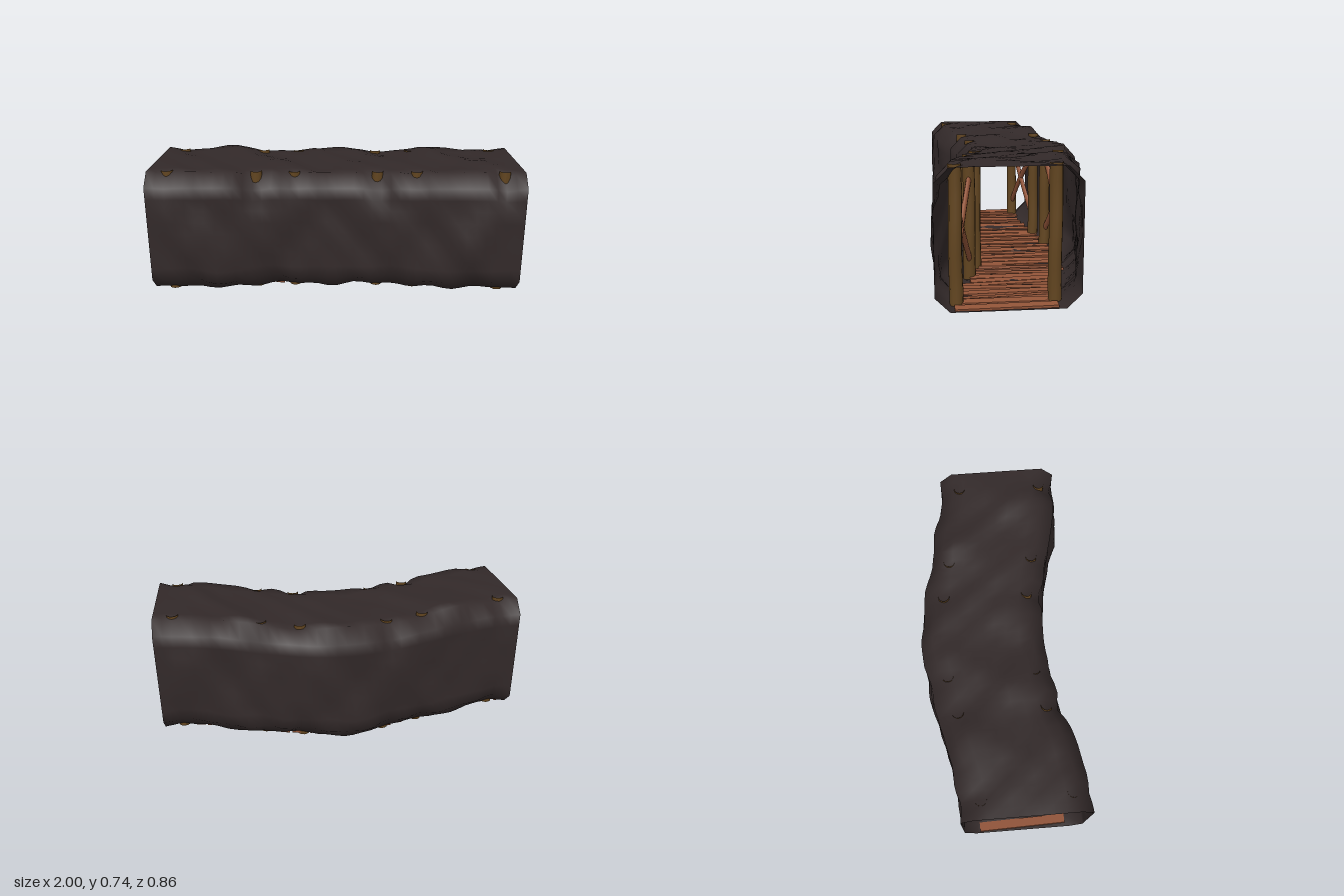
import * as THREE from 'three';

const rock = new THREE.MeshStandardMaterial({ color: 0x322929, side: THREE.DoubleSide });
rock.name = 'dark rock';
const timber = new THREE.MeshStandardMaterial({ color: 0x624520 });
timber.name = 'brown timber';
const plankWood = new THREE.MeshStandardMaterial({ color: 0x935539 });
plankWood.name = 'reddish plank wood';

// Seeded random numbers
let seed = 7;
const rand = () => {
  seed = (seed * 16807) % 2147483647;
  return seed / 2147483647;
};
const jitter = (a) => (rand() * 2 - 1) * a;

// The passage bends sideways and sags towards its middle
const bend = (x) => 0.5 + 0.5 * Math.cos(Math.PI * x);
const midZ = (x) => 0.073 - 0.153 * bend(x);
const floorY = (x) => 0.06 - 0.046 * bend(x);
const HALF_W = 0.338, HEIGHT = 0.665, CUT = 0.07;
const BAYS = [-0.667, 0, 0.667], POST_DX = 0.23;

function addMesh(parent, name, geometry, material) {
  const mesh = new THREE.Mesh(geometry, material);
  mesh.name = name;
  parent.add(mesh);
  return mesh;
}

// Chamfered rectangle, as [z, y] offsets around its centre
function crossSection() {
  const w = HALF_W, h = HEIGHT / 2, c = CUT;
  const corners = [
    [w, -h + c], [w, h - c], [w - c, h], [-w + c, h],
    [-w, h - c], [-w, -h + c], [-w + c, -h], [w - c, -h],
  ];
  const points = [];
  corners.forEach((p, i) => {
    const q = corners[(i + 1) % 8];
    const n = i % 2 ? 1 : 8;
    for (let k = 0; k < n; k++) {
      points.push([p[0] + (q[0] - p[0]) * k / n, p[1] + (q[1] - p[1]) * k / n]);
    }
  });
  return points;
}

const bump = (v, centre, width) => Math.exp(-(((v - centre) / width) ** 2));

// Uneven rock surface, fading out at the two open ends
function roughness(x, y, z) {
  const n = Math.sin(11 * x + 2) * Math.sin(9 * z + 8 * y + 1)
    + 0.8 * Math.sin(17 * x - 6 * z + 1) * Math.cos(15 * y + 11 * z)
    + 0.6 * Math.sin(29 * x + 4 * y) * Math.cos(25 * z - 21 * y + 2);
  return 0.026 * n * Math.min(1, (1 - Math.abs(x)) * 6);
}

// Hollows around the post heads, deepest at the front post of each bay,
// and around the post feet along the back
function hollows(x, y, z) {
  if (Math.abs(y) < 0.15 || (y < 0 && z > 0)) return 0;
  let depth = 0;
  for (const centre of BAYS) {
    for (const dx of [-POST_DX, POST_DX]) {
      const amount = y > 0 && z > 0 && dx > 0 ? 0.12 : 0.045;
      depth += amount * bump(x, centre + dx, 0.055) * bump(Math.abs(z), 0.3, 0.08);
    }
  }
  return depth;
}

// Two swellings low on the front wall
function swelling(x, y, z) {
  if (z < HALF_W - CUT) return 0;
  return 0.09 * (bump(x, 0.72, 0.13) + bump(x, -0.64, 0.13)) * bump(y, -0.08, 0.17);
}

function rockShell() {
  const section = crossSection(), n = section.length, steps = 40;
  const positions = [], index = [];
  for (let i = 0; i <= steps; i++) {
    const x = -1 + 2 * i / steps;
    section.forEach(([z, y]) => {
      const s = 1 + roughness(x, y, z) - hollows(x, y, z) + swelling(x, y, z);
      positions.push(x, floorY(x) + HEIGHT / 2 + y * s, midZ(x) + z * s);
    });
  }
  for (let i = 0; i < steps; i++) {
    for (let j = 0; j < n; j++) {
      const a = i * n + j, d = i * n + (j + 1) % n;
      index.push(a, a + n, d, d, a + n, d + n);
    }
  }
  const geometry = new THREE.BufferGeometry();
  geometry.setAttribute('position', new THREE.Float32BufferAttribute(positions, 3));
  geometry.setIndex(index);
  geometry.computeVertexNormals();
  return geometry;
}

// Slightly crooked, open-ended round post
function postGeometry() {
  const height = HEIGHT + 0.01;
  const geometry = new THREE.CylinderGeometry(0.031, 0.033, height, 12, 8, true);
  const p = geometry.attributes.position, phase = rand() * 6;
  for (let i = 0; i < p.count; i++) {
    const t = p.getY(i) / height + 0.5;
    p.setX(i, p.getX(i) + 0.004 * Math.sin(9 * t + phase));
    p.setZ(i, p.getZ(i) + 0.002 * Math.cos(8 * t + phase));
  }
  geometry.computeVertexNormals();
  return geometry;
}

// Flattened pole with rounded ends, following the bend of the wall
function braceGeometry(centre, offset, direction) {
  const geometry = new THREE.CapsuleGeometry(0.02, 0.585, 4, 10, 12);
  geometry.rotateZ(-direction * Math.PI / 4);
  geometry.scale(1, 1, 0.65);
  const p = geometry.attributes.position;
  for (let i = 0; i < p.count; i++) {
    const x = p.getX(i) + centre;
    p.setXYZ(i, x, p.getY(i) + floorY(x) + 0.325, p.getZ(i) + midZ(x) + offset);
  }
  geometry.computeVertexNormals();
  return geometry;
}

export function createModel() {
  const model = new THREE.Group();
  model.name = 'mineTunnel';
  addMesh(model, 'rockShell', rockShell(), rock);

  // Three bays, each with two pairs of posts and crossed braces on both walls
  for (const centre of BAYS) {
    const bay = new THREE.Group();
    bay.name = 'supportBay';
    model.add(bay);
    for (const offset of [0.242, -0.222]) {
      for (const dx of [-POST_DX, POST_DX]) {
        const x = centre + dx;
        const post = addMesh(bay, 'post', postGeometry(), timber);
        post.position.set(x, floorY(x) + HEIGHT / 2 - 0.002, midZ(x) + offset);
      }
      for (const direction of [1, -1]) {
        addMesh(bay, 'brace', braceGeometry(centre, offset - 0.003, direction), plankWood);
      }
    }
  }

  // Floor planks laid across the passage, partly sunk into the rock
  const planks = new THREE.Group();
  planks.name = 'floorPlanks';
  model.add(planks);
  const count = 28;
  for (let i = 0; i < count; i++) {
    const x = -0.96 + 1.92 * i / (count - 1);
    const plank = addMesh(planks, 'plank',
      new THREE.BoxGeometry(0.05, 0.014, 0.48 + jitter(0.02)), plankWood);
    plank.position.set(x, floorY(x) + 0.005 + jitter(0.003), midZ(x) + jitter(0.015));
    const slope = (floorY(x + 0.01) - floorY(x - 0.01)) / 0.02;
    plank.rotation.set(jitter(0.012), jitter(0.07), Math.atan(slope) + jitter(0.12));
  }
  return model;
}
